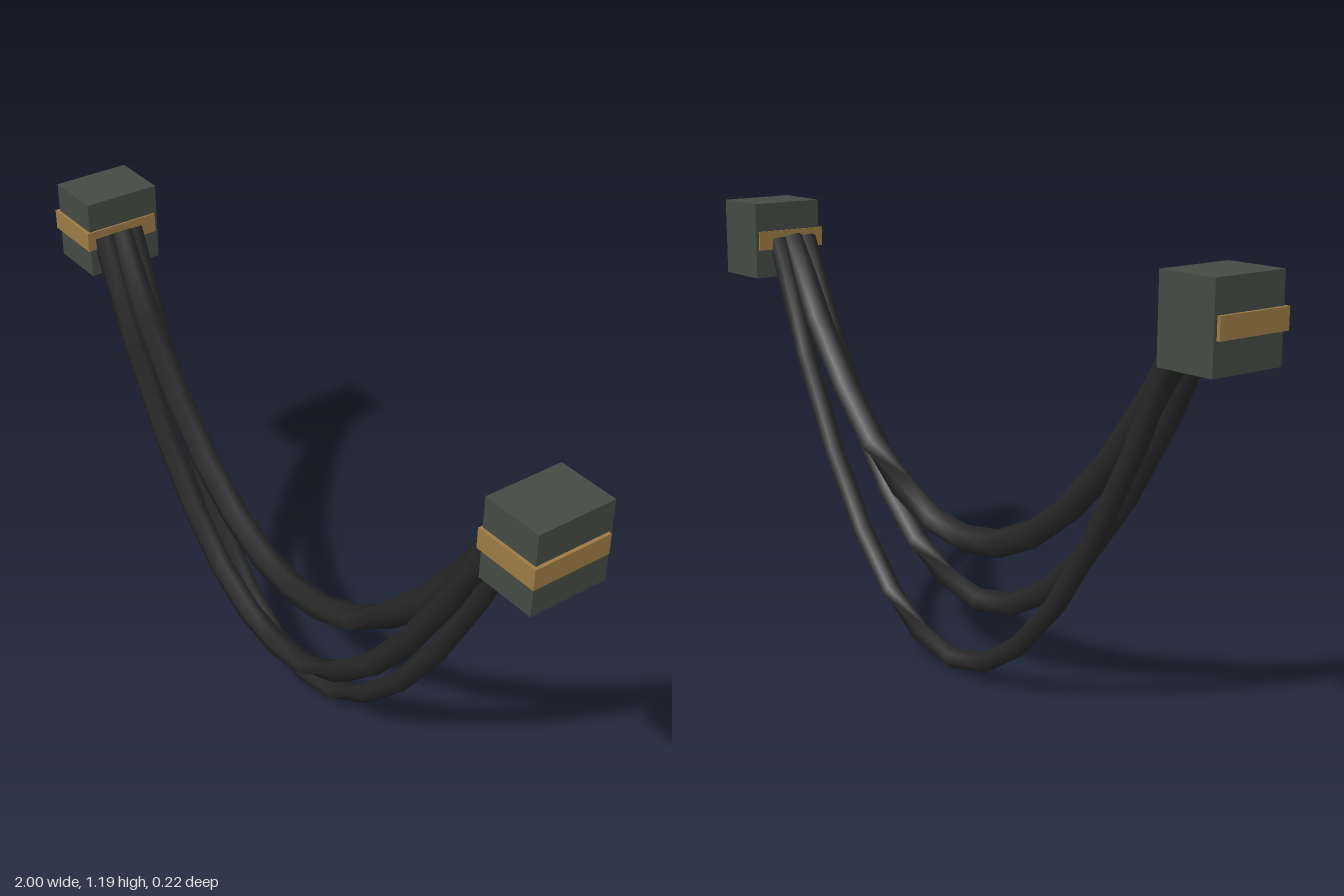
import * as THREE from 'three';

const SIDES = 6, SEGMENTS = 12, HALF_SPAN = 0.83, ANCHOR_Y = 1.08;

// Hanging six-sided cable along a parabola; the section turns by a third within one segment.
function cableGeometry(lowY, z, radius, twistAfter) {
  const pos = [], index = [];
  const sag = ANCHOR_Y - lowY;
  const addRing = (i) => {
    const u = (i / SEGMENTS) * 2 - 1;
    const slope = (2 * sag * u) / HALF_SPAN;
    const len = Math.hypot(1, slope);
    const nx = -slope / len, ny = 1 / len;
    const phase = -Math.PI * 5 / 9 + (i > twistAfter ? Math.PI * 2 / 3 : 0);
    for (let j = 0; j < SIDES; j++) {
      const a = phase + (j / SIDES) * Math.PI * 2;
      const s = Math.sin(a) * radius;
      pos.push(u * HALF_SPAN + nx * s, lowY + sag * u * u + ny * s, z + Math.cos(a) * radius);
    }
  };
  for (let i = 0; i <= SEGMENTS; i++) addRing(i);
  for (let i = 0; i < SEGMENTS; i++) {
    for (let j = 0; j < SIDES; j++) {
      const a = i * SIDES + j, b = i * SIDES + (j + 1) % SIDES;
      index.push(a, a + SIDES, b, b, a + SIDES, b + SIDES);
    }
  }
  // End caps on their own vertices, so their edges stay sharp
  for (const i of [0, SEGMENTS]) {
    const start = pos.length / 3;
    addRing(i);
    for (let j = 1; j < SIDES - 1; j++) {
      if (i === 0) index.push(start, start + j, start + j + 1);
      else index.push(start, start + j + 1, start + j);
    }
  }
  const geo = new THREE.BufferGeometry();
  geo.setAttribute('position', new THREE.Float32BufferAttribute(pos, 3));
  geo.setIndex(index);
  geo.computeVertexNormals();
  return geo;
}

export function createModel() {
  const group = new THREE.Group();
  const blockMat = new THREE.MeshStandardMaterial({ color: 0x454a44 });
  const bandMat = new THREE.MeshStandardMaterial({ color: 0x9c7b45 });
  const cableMat = new THREE.MeshStandardMaterial({ color: 0x262626 });

  const add = (name, geo, mat, x = 0, y = 0, z = 0) => {
    const mesh = new THREE.Mesh(geo, mat);
    mesh.name = name;
    mesh.position.set(x, y, z);
    group.add(mesh);
  };

  // Anchor blocks, each with a band set slightly forward
  for (const [side, s] of [['left', 1], ['right', -1]]) {
    add(side + 'Block', new THREE.BoxGeometry(0.166, 0.215, 0.215), blockMat, s * 0.908, ANCHOR_Y, -0.003);
    add(side + 'Band', new THREE.BoxGeometry(0.18, 0.054, 0.215), bandMat, s * 0.91, ANCHOR_Y, 0.006);
  }

  // Cables: lowest centre height, depth, radius, segment where the section turns
  add('upperCable', cableGeometry(0.358, 0.012, 0.038, 8), cableMat);
  add('middleCable', cableGeometry(0.175, 0.06, 0.032, 7), cableMat);
  add('lowerCable', cableGeometry(0.03, -0.033, 0.028, 7), cableMat);

  return group;
}
